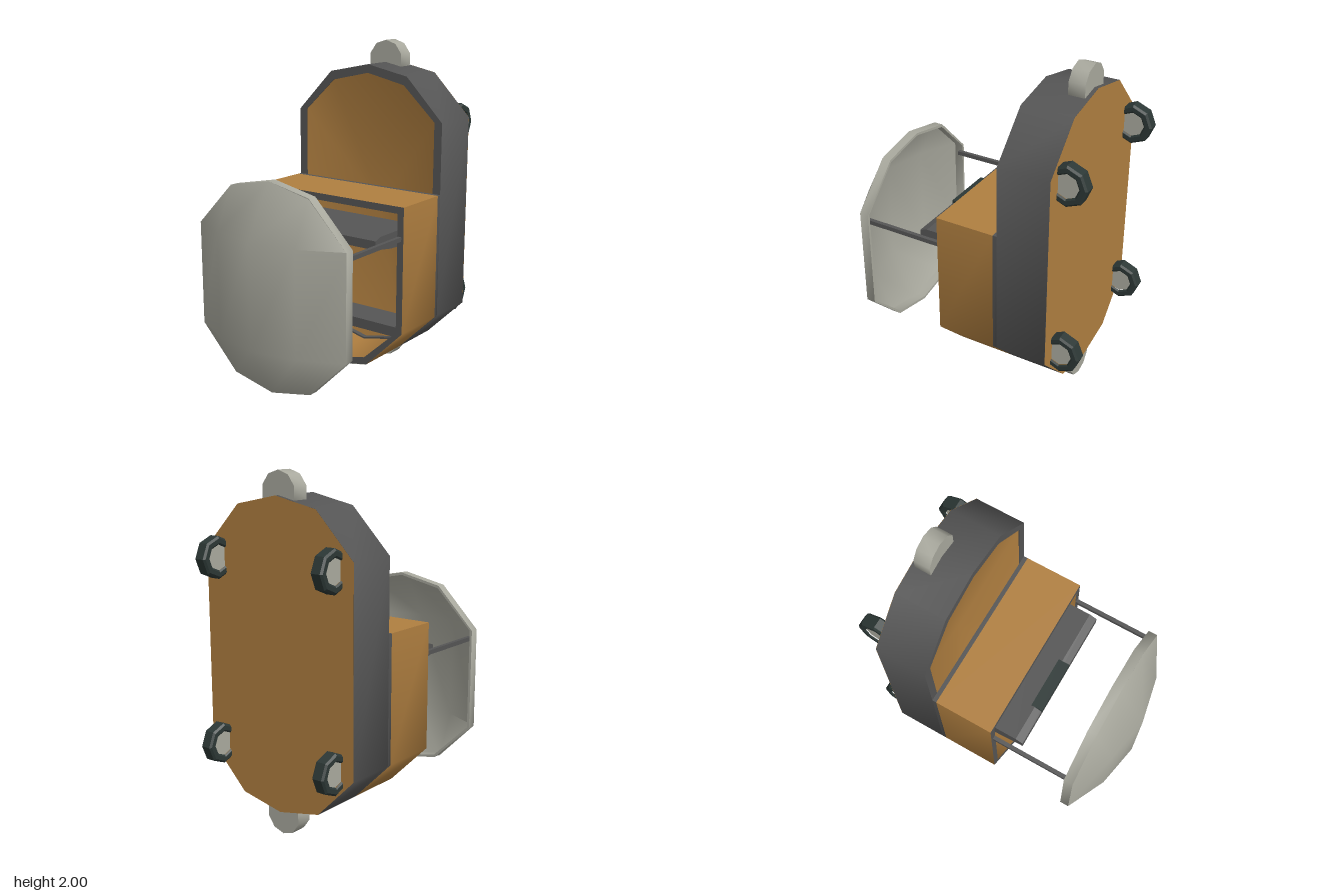
import * as THREE from 'three';
import { toCreasedNormals } from 'three/addons/utils/BufferGeometryUtils.js';

const mat = (name, color, side = THREE.FrontSide) => {
  const m = new THREE.MeshStandardMaterial({ color, side });
  m.name = name;
  return m;
};

export function createModel() {
  const model = new THREE.Group();
  const wood = mat('warm brown', 0xb07f40, THREE.DoubleSide);
  const dark = mat('dark grey', 0x555555);
  const light = mat('light grey', 0xa9a99e, THREE.DoubleSide);
  const rubber = mat('tyre green black', 0x2c3735);

  const add = (name, geometry, material, x = 0, y = 0, z = 0, parent = model) => {
    const mesh = new THREE.Mesh(geometry, material);
    mesh.name = name;
    mesh.position.set(x, y, z);
    parent.add(mesh);
    return mesh;
  };
  const box = (name, w, h, d, material, x, y, z) =>
    add(name, new THREE.BoxGeometry(w, h, d), material, x, y, z);

  // Outline with a faceted round bottom, and a round or flat top; t insets it
  const outline = (top, flat, t = 0) => {
    const w = 0.51 - t, b = 0.135 + t, m = 0.27 - t * 0.4;
    const pts = [[-w, 0.43], [-m, b + 0.055], [0, b], [m, b + 0.055], [w, 0.43]];
    const y = top - t;
    if (flat) pts.push([w, y], [-w, y]);
    else pts.push([w, top - 0.3], [m, y - 0.055], [0, y], [-m, y - 0.055], [-w, top - 0.3]);
    return pts.map(p => new THREE.Vector2(...p));
  };
  // Open tube of that outline between two depths
  const tube = (top, flat, t, z0, z1) => {
    const shape = new THREE.Shape(outline(top, flat));
    shape.holes.push(new THREE.Path(outline(top, flat, t)));
    const g = new THREE.ExtrudeGeometry(shape, { depth: z1 - z0, bevelEnabled: false });
    g.translate(0, 0, z0);
    return toCreasedNormals(g, 0.85);
  };

  // Rear hull with its flat back panel
  add('hullShell', tube(1.87, false, 0.05, -0.6, -0.3), dark);
  const back = new THREE.ShapeGeometry(new THREE.Shape(outline(1.87, false)));
  back.rotateY(Math.PI);
  add('backPanel', back, wood, 0, 0, -0.601);

  // Hollow lining, running from the rim to a deep centre
  const rim = outline(1.87, false, 0.05);
  const liningPos = [0, 1.0, -0.45];
  const liningIdx = [];
  rim.forEach((p, i) => {
    liningPos.push(p.x, p.y, -0.305);
    liningIdx.push(0, i + 1, ((i + 1) % rim.length) + 1);
  });
  const lining = new THREE.BufferGeometry();
  lining.setAttribute('position', new THREE.Float32BufferAttribute(liningPos, 3));
  lining.setIndex(liningIdx);
  lining.computeVertexNormals();
  add('hullLining', lining, wood);

  // Cabin: dark collar, brown walls, dark front rim
  add('cabinCollar', tube(1.16, true, 0.05, -0.3, -0.275), dark);
  add('cabinWalls', tube(1.16, true, 0.04, -0.275, 0.075), [dark, wood]);

  // Grey patch under the cabin
  const patch = new THREE.BufferGeometry();
  patch.setAttribute('position', new THREE.Float32BufferAttribute(
    [0, 0.133, 0.075, 0.27, 0.188, 0.075, 0, 0.133, -0.06], 3));
  patch.setIndex([0, 2, 1]);
  patch.computeVertexNormals();
  add('floorPatch', patch, light);

  // Dashboard wedge, thinner toward the front
  const side = new THREE.Shape([[-0.235, 0.945], [-0.235, 0.995], [-0.19, 1.01],
    [0.15, 1.01], [0.15, 0.91], [-0.08, 0.92]].map(p => new THREE.Vector2(...p)));
  const dash = new THREE.ExtrudeGeometry(side, { depth: 0.875, bevelEnabled: false });
  dash.rotateY(Math.PI / 2);
  add('dashboard', dash, dark, -0.4375);
  box('dashboardHandle', 0.32, 0.025, 0.07, rubber, -0.06, 1.001, 0.203);
  box('seat', 0.84, 0.06, 0.2, dark, 0, 0.38, -0.14);

  // Canopy: ridged dome on a thin skirt
  const xs = [-0.51, -0.27, 0, 0.27, 0.51];
  const ridge = [0.595, 0.712, 0.765, 0.712, 0.595];
  const reach = [0, 0.245, 0.3, 0.24, 0];
  const domePos = [], domeIdx = [];
  for (let r = 0; r < 4; r++) {
    xs.forEach((x, i) => {
      const end = r === 0 || r === 3;
      const y = r < 2 ? 0.43 - (end ? reach[i] : 0) : 1.03 + (end ? reach[i] : 0);
      domePos.push(x, y, end ? 0.595 : ridge[i]);
      if (r < 3 && i < 4) {
        const a = r * 5 + i;
        domeIdx.push(a, a + 1, a + 6, a, a + 6, a + 5);
      }
    });
  }
  const dome = new THREE.BufferGeometry();
  dome.setAttribute('position', new THREE.Float32BufferAttribute(domePos, 3));
  dome.setIndex(domeIdx);
  dome.computeVertexNormals();
  add('canopyDome', dome, light);
  add('canopySkirt', tube(1.33, false, 0.015, 0.54, 0.595), light);

  // Canopy rails
  for (const s of [-1, 1]) box('canopyRail', 0.023, 0.025, 0.6, dark, s * 0.485, 0.98, 0.26);

  // Round lugs at top and bottom
  for (const y of [1.885, 0.115]) {
    const lug = new THREE.CylinderGeometry(0.115, 0.115, 0.095, 10);
    lug.rotateX(Math.PI / 2);
    add('lug', toCreasedNormals(lug, 0.8), light, 0, y, -0.53);
  }

  // Wheels: chamfered eight-sided tyre and recessed hub
  const profile = [[0.07, -0.03], [0.08, -0.038], [0.105, -0.038], [0.117, -0.028],
    [0.117, 0.028], [0.105, 0.038], [0.08, 0.038], [0.07, 0.03]];
  const tyre = toCreasedNormals(
    new THREE.LatheGeometry(profile.map(p => new THREE.Vector2(...p)), 8), 0.5);
  const hub = new THREE.CylinderGeometry(0.072, 0.072, 0.05, 8);
  for (const x of [-0.403, 0.403]) for (const y of [0.47, 1.523]) {
    const wheel = new THREE.Group();
    wheel.name = 'wheel';
    wheel.position.set(x, y, -0.65);
    wheel.rotation.z = Math.PI / 2;
    add('tyre', tyre, rubber, 0, 0, 0, wheel);
    add('hub', hub, light, 0, 0, 0, wheel);
    model.add(wheel);
  }
  return model;
}
